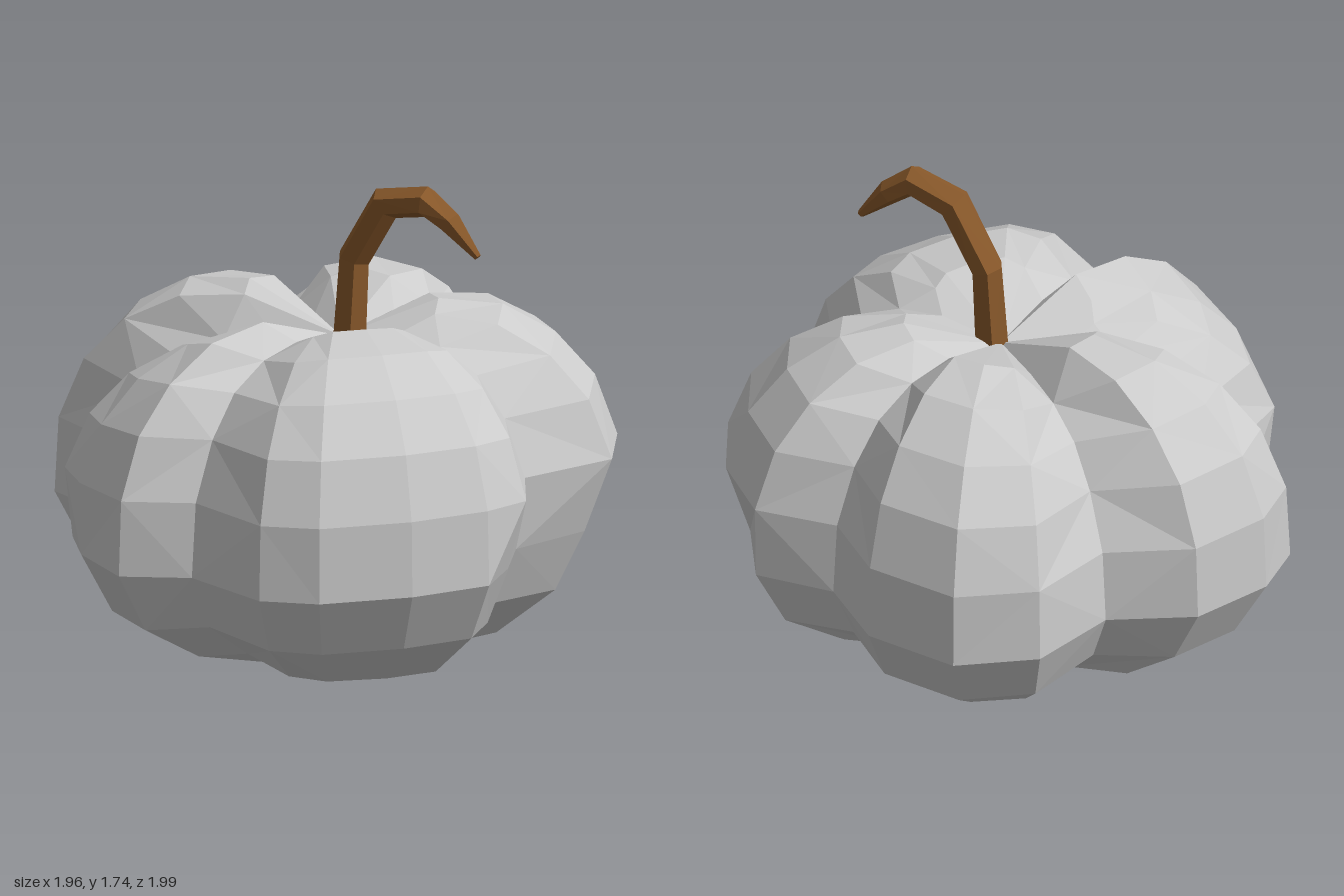
import * as THREE from 'three';

// Skin a stack of equal rings (clockwise seen from the end), closed by two end points.
function loft(rings, start, end) {
  const n = rings[0].length, last = (rings.length - 1) * n;
  const points = [...rings.flat(), start, end];
  const s = points.length - 2, e = s + 1, index = [];
  for (let j = 0; j < n; j++) {
    const k = (j + 1) % n;
    for (let i = 0; i < last; i += n) {
      const a = i + j, b = i + k, c = a + n, d = b + n;
      if ((i / n + j) % 2) index.push(a, c, b, b, c, d);
      else index.push(a, c, d, a, d, b);
    }
    index.push(s, j, k, e, last + k, last + j);
  }
  const geometry = new THREE.BufferGeometry().setFromPoints(points);
  geometry.setIndex(index);
  geometry.computeVertexNormals();
  return geometry;
}

// Widest outline of the five lobes: x, z, crease amount, shoulder height, undercut
const outline = [
  [0.22, -1.0, 0, 1.25, 0.1], [0.5, -0.9, 0, 1.26, 0.7], [0.73, -0.7, 0.1, 1.24, 0.8],
  [0.73, -0.32, 0.65, 1.23, 0.5],
  [0.96, -0.14, 0.2, 1.24, 0.8], [0.98, 0.05, 0, 1.25, 0], [0.93, 0.35, 0, 1.26, 0],
  [0.8, 0.66, 0, 1.26, 0], [0.64, 0.8, 0.2, 1.25, 0],
  [0.27, 0.81, 0.8, 1.24, 0],
  [0.1, 1.0, 0, 1.26, 0], [-0.2, 0.95, 0, 1.21, 0.1], [-0.41, 0.86, 0.2, 1.18, 0.3],
  [-0.55, 0.55, 1, 1.2, 0],
  [-0.87, 0.53, 0.2, 1.27, 0], [-0.98, 0.33, 0, 1.29, 0], [-0.98, 0.02, 0, 1.28, 0],
  [-0.79, -0.24, 1, 1.22, 0],
  [-0.84, -0.58, 0.1, 1.26, 0], [-0.68, -0.84, 0, 1.28, 0], [-0.34, -0.94, 0, 1.27, 0],
  [-0.04, -0.85, 0.6, 1.23, 0],
];
// Upright profile: lobe radius, lobe y, crease radius, crease y
const profile = [
  [0.32, 0.02, 0.32, 0.05], [0.64, 0.11, 0.62, 0.13], [0.88, 0.25, 0.88, 0.27],
  [1, 0.47, 1, 0.47], [0.99, 0.74, 0.97, 0.74], [0.91, 0.96, 0.85, 0.95],
  [0.77, 1.12, 0.7, 1.09], [0.58, 1.23, 0.5, 1.16], [0.35, 1.26, 0.28, 1.18],
];

function bodyGeometry() {
  const cx = 0.02, cz = -0.04;
  const rings = profile.map(([lr, ly, nr, ny]) => outline.map(([x, z, crease, top, undercut]) => {
    const low = ly < 0.6;
    const r = THREE.MathUtils.lerp(lr, nr, crease) * (low ? 1 - 0.14 * undercut : 1);
    const y = THREE.MathUtils.lerp(ly, ny, crease);
    // The shoulders vary in height, and the underside sags to either side.
    const lift = (top - 1.26) * Math.max(0, y - 0.6) / 0.66;
    const sag = ly < 0.2 ? 0.06 * r * Math.abs(x) : 0;
    return new THREE.Vector3(cx + (x - cx) * r, y + lift - sag, cz + (z - cz) * r);
  }));
  return loft(rings, new THREE.Vector3(cx, 0.04, cz), new THREE.Vector3(cx, 1.14, cz));
}

// Curled stem: centre and radius of each section
const stemSections = [
  [0.055, 1.1, -0.05, 0.066], [0.072, 1.43, -0.06, 0.06], [0.2, 1.65, -0.1, 0.062],
  [0.365, 1.685, -0.15, 0.057], [0.44, 1.62, -0.195, 0.045], [0.535, 1.505, -0.245, 0.014],
];

function stemGeometry() {
  const sides = 6;
  const centres = stemSections.map(([x, y, z]) => new THREE.Vector3(x, y, z));
  const across = new THREE.Vector3(0.38, 0, 0.925);
  const rings = centres.map((c, i) => {
    const before = centres[Math.max(i - 1, 0)];
    const after = centres[Math.min(i + 1, centres.length - 1)];
    const normal = after.clone().sub(before).cross(across).normalize();
    return Array.from({ length: sides }, (_, j) => {
      const a = (j / sides) * Math.PI * 2, r = stemSections[i][3];
      return c.clone().addScaledVector(normal, r * Math.cos(a)).addScaledVector(across, r * Math.sin(a));
    });
  });
  return loft(rings, centres[0], centres[centres.length - 1]);
}

export function createModel() {
  const group = new THREE.Group();
  group.name = 'pumpkin';
  const add = (name, geometry, color) => {
    const mesh = new THREE.Mesh(geometry, new THREE.MeshStandardMaterial({ color, flatShading: true }));
    mesh.name = name;
    group.add(mesh);
  };
  add('lobedBody', bodyGeometry(), 0xcccccc);
  add('stem', stemGeometry(), 0x8b5a2b);
  return group;
}
